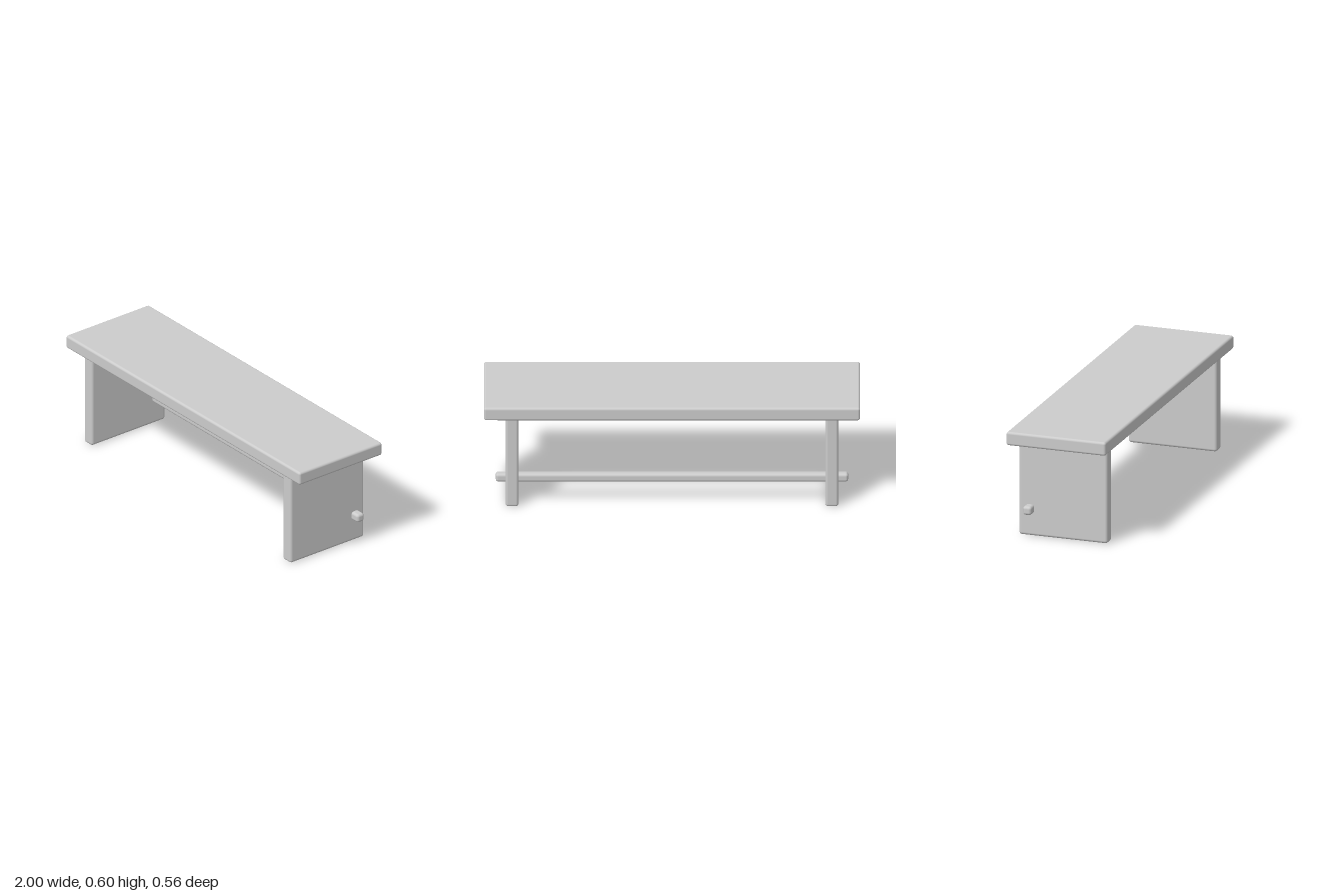
import * as THREE from 'three';
import { RoundedBoxGeometry } from 'three/addons/geometries/RoundedBoxGeometry.js';

export function createModel() {
  const bench = new THREE.Group();
  bench.name = 'bench';

  const grey = new THREE.MeshStandardMaterial({ color: 0xcccccc });
  grey.name = 'light grey';

  // Rounded board given by its size, centre and edge radius
  function board(name, [w, h, d], [x, y, z], radius) {
    const mesh = new THREE.Mesh(new RoundedBoxGeometry(w, h, d, 4, radius), grey);
    mesh.name = name;
    mesh.position.set(x, y, z);
    bench.add(mesh);
  }

  // Seat plank
  board('seat', [2, 0.075, 0.562], [0, 0.5645, 0], 0.013);

  // Panel legs, mirrored left and right
  for (const side of [1, -1]) {
    board(side > 0 ? 'leftLeg' : 'rightLeg', [0.07, 0.526, 0.5], [side * 0.85, 0.263, 0], 0.015);
  }

  // Stretcher rail running through both legs near the back
  board('stretcher', [1.874, 0.048, 0.048], [0, 0.151, -0.187], 0.015);

  return bench;
}
